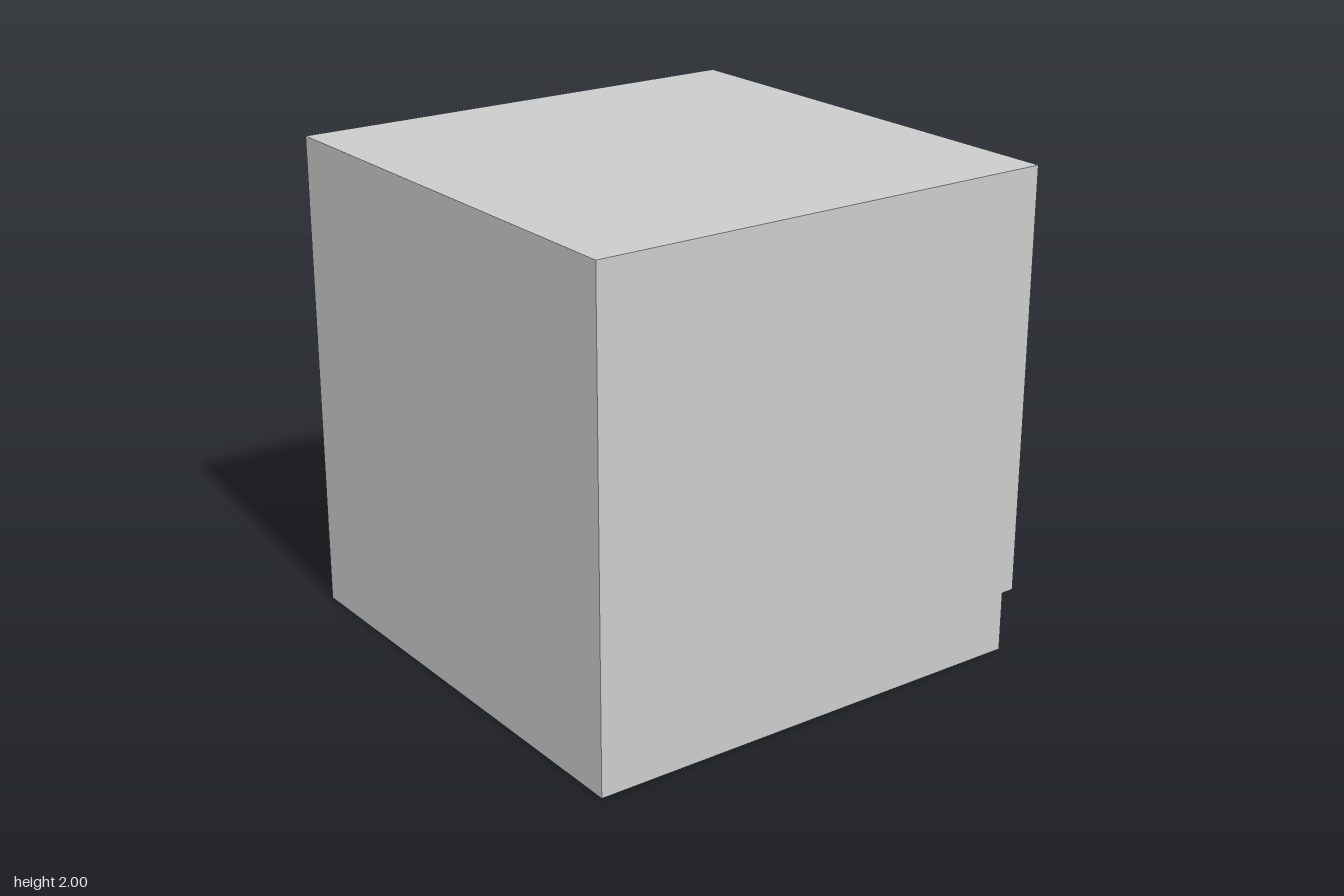
import * as THREE from 'three';

const FRAME = 0.1;     // face frame thickness
const CLOSED = 0.17;   // thickness of the closed wall
const KICK = 0.25;     // height of the plinth
const RECESS = 0.055;  // toe kick set-back
const HALF = 0.875;    // half width of the inside and the openings
const FLOOR = 0.315;   // inside floor, a little below the door opening
const CEILING = 1.875;

export function createModel() {
  const cabinet = new THREE.Group();
  cabinet.name = 'baseCabinet';
  const material = new THREE.MeshStandardMaterial({ color: 0xcccccc, flatShading: true });

  const rectangle = (path, halfWidth, y0, y1) =>
    path.moveTo(-halfWidth, y0).lineTo(halfWidth, y0).lineTo(halfWidth, y1).lineTo(-halfWidth, y1).closePath();

  // full-width slab between z0 and z1, pierced by openings given as [bottom, top]
  const slab = (name, y0, y1, z0, z1, openings = []) => {
    const outline = rectangle(new THREE.Shape(), 1, y0, y1);
    for (const [bottom, top] of openings) {
      outline.holes.push(rectangle(new THREE.Path(), HALF, bottom, top));
    }
    const geometry = new THREE.ExtrudeGeometry(outline, { depth: z1 - z0, bevelEnabled: false });
    geometry.translate(0, 0, z0);
    const mesh = new THREE.Mesh(geometry, material);
    mesh.name = name;
    cabinet.add(mesh);
  };

  // plinth, set back under the open face
  slab('plinth', 0, KICK, -1 + RECESS, 1);

  // face frame with a drawer opening above a door opening
  slab('faceFrame', KICK, 2, -1, -1 + FRAME, [[1.5, CEILING], [0.375, 1.375]]);

  // sides, floor and top around one undivided space
  slab('carcass', KICK, 2, -1 + FRAME, 1 - CLOSED, [[FLOOR, CEILING]]);

  // closed wall opposite the openings
  slab('closedWall', KICK, 2, 1 - CLOSED, 1);

  return cabinet;
}
